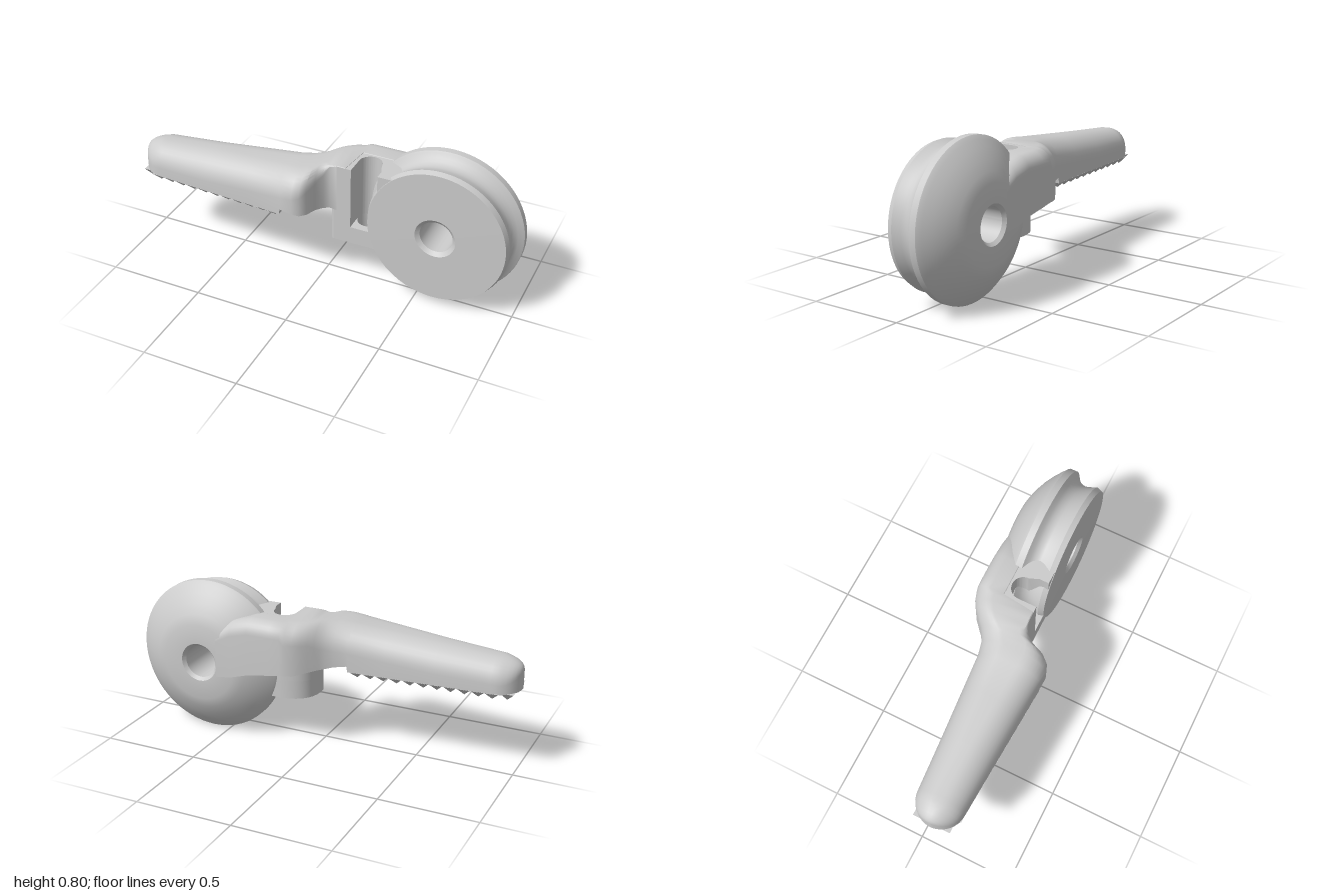
import * as THREE from 'three';
import { mergeGeometries, toCreasedNormals } from 'three/addons/utils/BufferGeometryUtils.js';

const material = new THREE.MeshStandardMaterial({ color: 0xcccccc });

function part(name, geometry, crease = 0.6) {
  const mesh = new THREE.Mesh(toCreasedNormals(geometry, crease), material);
  mesh.name = name;
  return mesh;
}

// Cross-section across the lever: flat underside, rounded upper corners
function section([x, zMin, zMax, yB, yT, rFront, rBack]) {
  const half = (zMax - zMin) / 2, pts = [], steps = 8;
  const rf = Math.min(rFront, half * 0.98, (yT - yB) * 0.9);
  const rb = Math.min(rBack, half * 0.98, (yT - yB) * 0.9);
  pts.push([x, yB, zMax]);
  for (let i = 0; i <= steps; i++) {
    const a = (i / steps) * Math.PI / 2;
    pts.push([x, yT - rf + rf * Math.sin(a), zMax - rf + rf * Math.cos(a)]);
  }
  for (let i = 0; i <= steps; i++) {
    const a = (i / steps) * Math.PI / 2;
    pts.push([x, yT - rb + rb * Math.cos(a), zMin + rb - rb * Math.sin(a)]);
  }
  pts.push([x, yB, zMin]);
  return pts;
}

function loft(stations) {
  const rings = stations.map(section), n = rings[0].length, index = [];
  for (let i = 0; i < rings.length - 1; i++) {
    for (let j = 0; j < n; j++) {
      const a = i * n + j, b = i * n + (j + 1) % n;
      index.push(a, a + n, b, b, a + n, b + n);
    }
  }
  const last = (rings.length - 1) * n;
  for (let j = 1; j < n - 1; j++) {
    index.push(0, j, j + 1, last, last + j + 1, last + j);
  }
  const g = new THREE.BufferGeometry();
  g.setAttribute('position', new THREE.Float32BufferAttribute(rings.flat(2), 3));
  g.setIndex(index);
  g.computeVertexNormals();
  return g;
}

// Handle edges at x, shared by the lever and its grip teeth
function handleEdges(x) {
  if (x < -0.875) {
    const half = Math.sqrt(Math.max(0.00015, 0.125 ** 2 - (x + 0.875) ** 2));
    return [0.075 - half, 0.075 + half];
  }
  const t = (x + 0.875) / 0.775;
  return [-0.05 - 0.05 * t, 0.2 + 0.045 * t];
}

function leverStations() {
  const list = [];
  // rounded tip
  for (let i = 0; i <= 8; i++) {
    const a = (i / 8) * Math.PI / 2;
    const x = -0.875 - 0.125 * Math.cos(a);
    list.push([x, ...handleEdges(x), 0.425, 0.525 + 0.06 * Math.sin(a), 0.11, 0.11]);
  }
  // tapered grip
  for (const x of [-0.6, -0.35, -0.16]) {
    list.push([x, ...handleEdges(x), 0.425, 0.585 + 0.085 * (x + 0.875), 0.125, 0.125]);
  }
  // neck sweeping back to the plate behind the wheel
  list.push(
    [-0.155, -0.097, 0.243, 0.455, 0.647, 0.125, 0.125],
    [-0.09, -0.112, 0.245, 0.445, 0.653, 0.125, 0.125],
    [-0.055, -0.13, 0.232, 0.437, 0.657, 0.12, 0.12],
    [-0.03, -0.146, 0.2, 0.433, 0.66, 0.1, 0.12],
    [-0.01, -0.165, 0.14, 0.43, 0.663, 0.08, 0.11],
    [0.015, -0.185, 0.098, 0.425, 0.666, 0.05, 0.1],
    [0.04, -0.207, 0.076, 0.42, 0.668, 0.01, 0.1],
    [0.08, -0.232, 0.069, 0.41, 0.67, 0.004, 0.1],
    [0.12, -0.245, 0.069, 0.41, 0.67, 0.004, 0.1],
    [0.14, -0.247, -0.1, 0.41, 0.67, 0.004, 0.09],
    [0.2, -0.249, -0.1, 0.4, 0.67, 0.004, 0.09],
    [0.32, -0.249, -0.1, 0.38, 0.67, 0.004, 0.09],
    [0.42, -0.249, -0.1, 0.35, 0.645, 0.004, 0.08],
    [0.5, -0.248, -0.12, 0.34, 0.59, 0.004, 0.06]
  );
  return list;
}

// Grid of small pyramids under the handle
function gripTeeth() {
  const cells = [], columns = 12, rows = 5, pitch = 0.82 / columns;
  for (let c = 0; c < columns; c++) {
    const x = -0.985 + (c + 0.5) * pitch;
    const [z0, z1] = handleEdges(x), step = (z1 - z0) / rows;
    for (let r = 0; r < rows; r++) {
      const tooth = new THREE.ConeGeometry(Math.SQRT1_2, 0.034, 4, 1).toNonIndexed();
      tooth.rotateY(Math.PI / 4).rotateX(Math.PI);
      tooth.scale(pitch, 1, step);
      tooth.translate(x, 0.41, z0 + (r + 0.5) * step);
      cells.push(tooth);
    }
  }
  return mergeGeometries(cells);
}

// Hinge block outline in plan; shape y is minus z
function blockShape(open) {
  const s = new THREE.Shape();
  s.moveTo(0.06, -0.07);
  if (open) {
    s.lineTo(0.15, -0.07);
    s.lineTo(0.15, 0.03);
    s.absarc(0.21, 0.03, 0.06, Math.PI, 0, true);
    s.lineTo(0.29, -0.02);
    s.lineTo(0.29, -0.07);
  }
  s.lineTo(0.39, -0.07);
  s.lineTo(0.39, 0.13);
  s.lineTo(0.2, 0.13);
  s.quadraticCurveTo(0.04, 0.12, 0.04, -0.03);
  s.quadraticCurveTo(0.04, -0.07, 0.06, -0.07);
  if (!open) {
    const hole = new THREE.Path();
    hole.absarc(0.21, 0.03, 0.06, 0, Math.PI * 2, true);
    s.holes.push(hole);
  }
  return s;
}

function blockLayer(open, y0, y1) {
  const g = new THREE.ExtrudeGeometry(blockShape(open), { depth: y1 - y0, bevelEnabled: false, curveSegments: 20 });
  return g.rotateX(-Math.PI / 2).translate(0, y0, 0);
}

export function createModel() {
  const model = new THREE.Group();
  model.name = 'leverAndWheel';

  // Grooved wheel with a domed back and a chamfered bore
  const profile = [
    [0.085, -0.23], [0.1, -0.247], [0.2, -0.247], [0.25, -0.228], [0.3, -0.201], [0.345, -0.17],
    [0.38, -0.14], [0.396, -0.125], [0.4, -0.12], [0.4, -0.085], [0.393, -0.08],
    [0.372, -0.067], [0.358, -0.052], [0.35, -0.035], [0.347, -0.018], [0.351, 0.005],
    [0.367, 0.045], [0.357, 0.073], [0.105, 0.075], [0.085, 0.058], [0.085, -0.23]
  ].map(([r, z]) => new THREE.Vector2(r, z));
  const wheel = new THREE.LatheGeometry(profile, 72);
  wheel.rotateX(Math.PI / 2).translate(0.6, 0.4, 0);
  model.add(part('wheel', wheel, 0.5));

  // Lever: handle, neck and back plate in one body
  model.add(part('lever', loft(leverStations()), 0.7));

  const teeth = new THREE.Mesh(gripTeeth(), material);
  teeth.name = 'gripTeeth';
  model.add(teeth);

  // Block between lever and wheel, with a vertical bore opening to the front
  model.add(part('blockFloor', blockLayer(false, 0.235, 0.33)));
  model.add(part('blockWalls', blockLayer(true, 0.33, 0.668)));

  return model;
}
